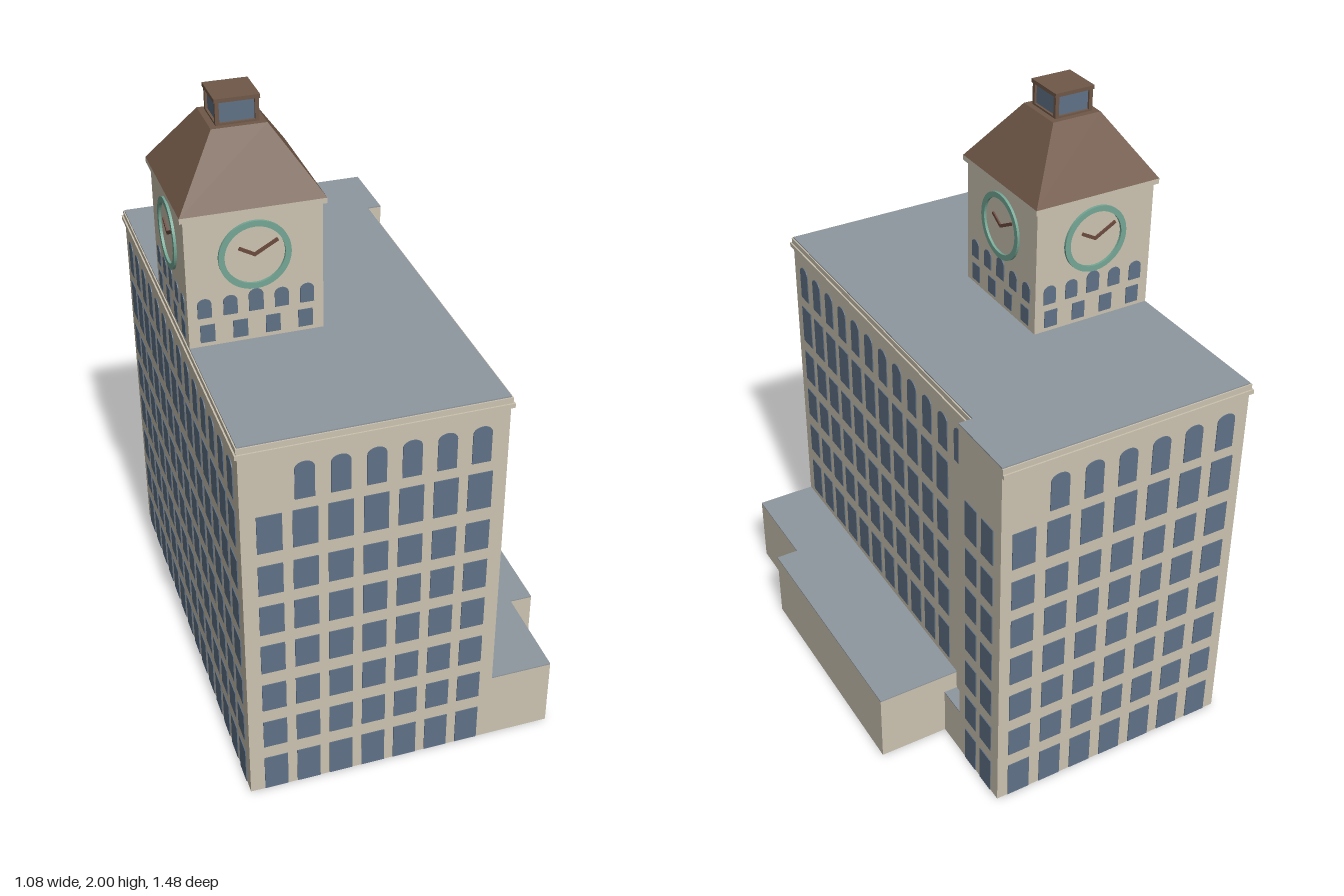
import * as THREE from 'three';
import { mergeGeometries } from 'three/addons/utils/BufferGeometryUtils.js';

const mat = (name, color) => {
  const m = new THREE.MeshStandardMaterial({ color });
  m.name = name;
  return m;
};

export function createModel() {
  const model = new THREE.Group();
  model.name = 'clockTowerBuilding';
  const stone = mat('stone', 0xcbc2af);
  const glass = mat('windowBlue', 0x5f7186);
  const slate = mat('flatRoofGrey', 0x8f989f);
  const brown = mat('roofBrown', 0x705848);
  const teal = mat('clockTeal', 0x74a795);
  const hand = mat('clockHandBrown', 0x6b4a3e);

  const add = (parent, name, geo, material) => {
    const m = new THREE.Mesh(geo, material);
    m.name = name;
    parent.add(m);
    return m;
  };
  // box given by its limits
  const box = (name, x0, x1, y0, y1, z0, z1, material, parent = model) =>
    add(parent, name, new THREE.BoxGeometry(x1 - x0, y1 - y0, z1 - z0)
      .translate((x0 + x1) / 2, (y0 + y1) / 2, (z0 + z1) / 2), material);
  // block with a grey flat roof
  const block = (name, x0, x1, h, z0, z1) => {
    box(name, x0, x1, 0, h - 0.004, z0, z1, stone);
    box(name + 'Roof', x0, x1, h - 0.004, h, z0, z1, slate);
  };
  // frame lying on a wall: local x runs along it, local z points outward
  const wall = (name, x, z, turn) => {
    const g = new THREE.Group();
    g.name = name;
    g.position.set(x, 0, z);
    g.rotation.y = turn * Math.PI / 2;
    model.add(g);
    return g;
  };
  // thin window pane, optionally with an arched head
  const pane = (u, y0, y1, w, rise = 0) => {
    const s = new THREE.Shape();
    s.moveTo(-w / 2, y0);
    s.lineTo(w / 2, y0);
    s.lineTo(w / 2, y1 - rise);
    if (rise) s.absellipse(0, y1 - rise, w / 2, rise, 0, Math.PI, false);
    else s.lineTo(w / 2, y1);
    s.lineTo(-w / 2, y1 - rise);
    return new THREE.ExtrudeGeometry(s, { depth: 0.003, bevelEnabled: false, curveSegments: 8 }).translate(u, 0, 0);
  };
  const columns = (first, step, n) => Array.from({ length: n }, (_, i) => first + i * step);
  const windows = (parent, name, cols, rows, w, rise) =>
    add(parent, name, mergeGeometries(rows.flatMap(([a, b]) => cols.map(u => pane(u, a, b, w, rise)))), glass);

  // main volumes
  block('mainBlock', -0.53, 0.26, 1.3, -0.73, 0.73);
  block('rearWing', 0.26, 0.305, 1.3, -0.73, -0.49);
  block('linkBlock', 0.26, 0.305, 0.17, -0.49, -0.39);
  block('annex', 0.26, 0.535, 0.242, -0.39, 0.415);
  block('frontAnnex', 0.26, 0.46, 0.242, 0.415, 0.73);

  // cornice
  for (const [y0, y1, d] of [[1.264, 1.278, 0.009], [1.278, 1.296, 0.004]]) {
    box('cornice', -0.53 - d, 0.26 + d, y0, y1, -0.73 - d, 0.73 + d, stone);
    box('rearCornice', 0.2, 0.305, y0, y1, -0.73 - d, -0.7, stone);
  }

  // window rows
  const rows = [[0.002, 0.13], [0.178, 0.28], [0.328, 0.43], [0.478, 0.583], [0.627, 0.732], [0.775, 0.88], [0.927, 1.055]];
  const sideRows = [[0.265, 0.4], [0.446, 0.556], [0.603, 0.714], [0.757, 0.873], [0.916, 1.054]];
  const top = [[1.092, 1.215]];

  const front = wall('frontWindows', 0, 0.73, 0);
  windows(front, 'frontPanes', columns(-0.447, 0.1043, 7), rows, 0.074);
  windows(front, 'frontArchedPanes', columns(-0.343, 0.1043, 6), top, 0.058, 0.022);

  const right = wall('rightWindows', 0.26, 0, 1);
  windows(right, 'rightPanes', columns(-0.653, 0.0964, 11), sideRows, 0.068);
  windows(right, 'rightArchedPanes', columns(-0.656, 0.0972, 12), top, 0.055, 0.022);
  windows(wall('wingWindows', 0.305, 0, 1), 'wingPanes', [0.563, 0.656], rows, 0.066);

  const back = wall('backWindows', 0, -0.73, 2);
  windows(back, 'backPanes', columns(-0.23, 0.114, 7), rows, 0.076);
  windows(back, 'backArchedPanes', columns(-0.116, 0.114, 6), top, 0.062, 0.022);

  const left = wall('leftWindows', -0.53, 0, 3);
  windows(left, 'leftPanes', columns(-0.65, 0.1, 14), rows, 0.071);
  windows(left, 'leftArchedPanes', columns(-0.65, 0.1, 14), top, 0.057, 0.022);

  // clock tower
  const cx = -0.326, cz = 0.006, r = 0.204;
  const square = (name, half, y0, y1, material) =>
    box(name, cx - half, cx + half, y0, y1, cz - half, cz + half, material);
  square('towerBody', r, 1.298, 1.712, stone);
  square('towerCornice', 0.215, 1.71, 1.727, stone);
  const roof = new THREE.CylinderGeometry(0.082 * Math.SQRT2, 0.215 * Math.SQRT2, 0.193, 4, 1, false, Math.PI / 4).toNonIndexed();
  roof.computeVertexNormals();
  add(model, 'towerRoof', roof, brown).position.set(cx, 1.8235, cz);

  // lantern with corner posts
  square('lanternGlass', 0.057, 1.92, 1.99, glass);
  square('lanternBase', 0.064, 1.918, 1.926, brown);
  square('lanternCap', 0.067, 1.988, 2, brown);
  for (const sx of [-1, 1]) for (const sz of [-1, 1]) {
    const x = cx + sx * 0.058, z = cz + sz * 0.058;
    box('lanternPost', x - 0.006, x + 0.006, 1.92, 1.99, z - 0.006, z + 0.006, brown);
  }

  // clock ring, shared by the four faces
  const ringShape = new THREE.Shape().absarc(0, 0, 0.108, 0, Math.PI * 2);
  ringShape.holes.push(new THREE.Path().absarc(0, 0, 0.09, 0, Math.PI * 2, true));
  const ring = new THREE.ExtrudeGeometry(ringShape, { depth: 0.008, bevelEnabled: false, curveSegments: 32 });
  const needle = (length, angle) => new THREE.BoxGeometry(length, 0.01, 0.005)
    .translate(length / 2 - 0.003, 0, 0.0025).rotateZ(angle);

  for (let i = 0; i < 4; i++) {
    const a = i * Math.PI / 2;
    const face = wall('towerFace', cx + Math.sin(a) * r, cz + Math.cos(a) * r, i);
    windows(face, 'towerLowerPanes', columns(-0.148, 0.0987, 4), [[1.314, 1.371]], 0.044);
    windows(face, 'towerArchedPanes', [-0.154, -0.077, 0.077, 0.154], [[1.395, 1.457]], 0.042, 0.018);
    windows(face, 'towerMiddlePane', [0], [[1.395, 1.466]], 0.044, 0.02);
    add(face, 'clockRing', ring, teal).position.y = 1.578;
    add(face, 'minuteHand', needle(0.083, 0.51), hand).position.y = 1.578;
    add(face, 'hourHand', needle(0.056, Math.PI - 0.51), hand).position.y = 1.578;
  }
  return model;
}
